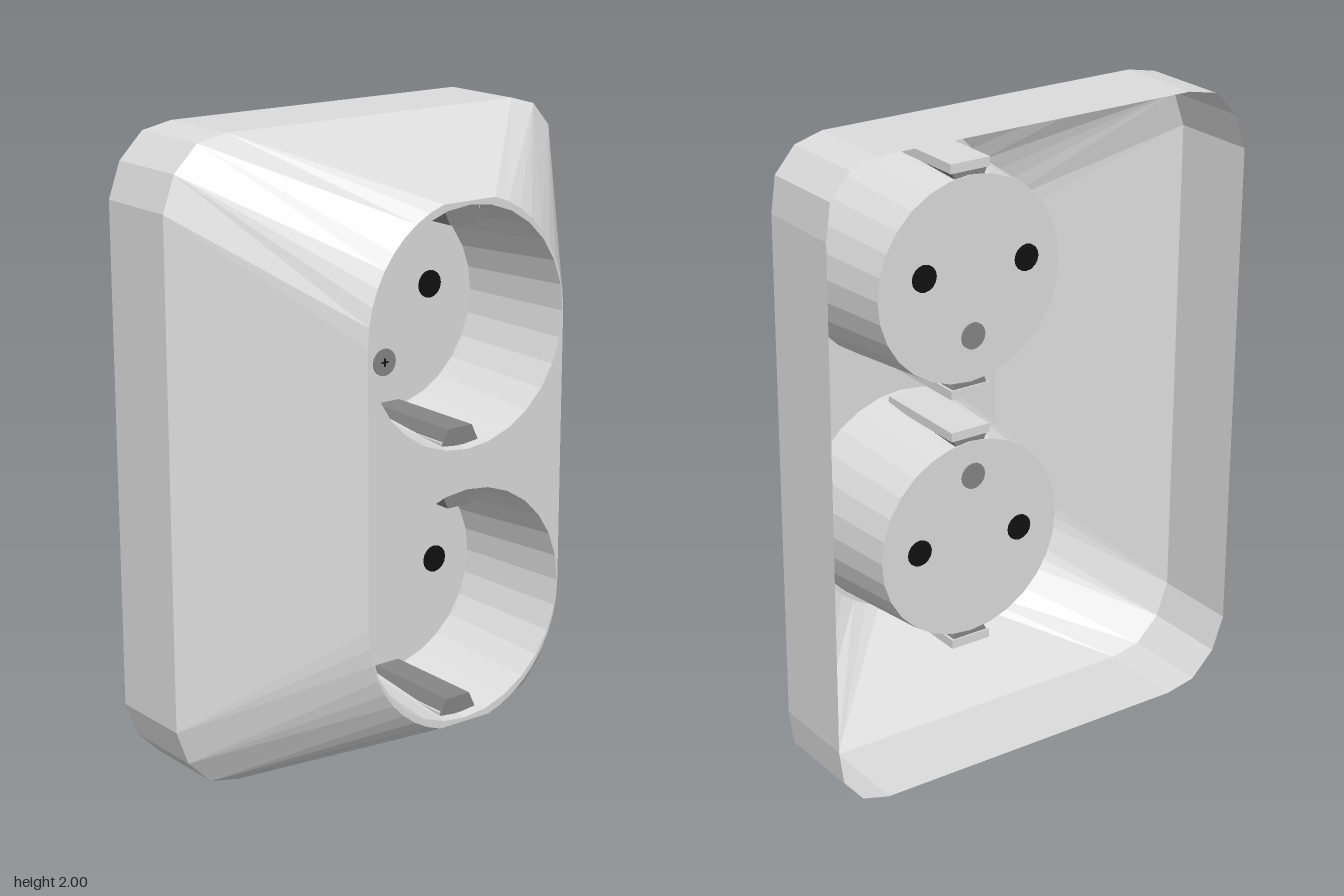
import * as THREE from 'three';

const mat = (name, color, extra = {}) => {
  const m = new THREE.MeshStandardMaterial({ color, flatShading: true, ...extra });
  m.name = name;
  return m;
};

// Surface between two closed loops, given as [u, v] points at depths w0 and w1
function loft(a, w0, b, w1) {
  const pos = [];
  const same = (p, q) => p[0] === q[0] && p[1] === q[1] && p[2] === q[2];
  const tri = (p, q, r) => {
    if (!same(p, q) && !same(q, r) && !same(p, r)) pos.push(...p, ...q, ...r);
  };
  for (let i = 0; i < a.length; i++) {
    const j = (i + 1) % a.length;
    const a0 = [...a[i], w0], a1 = [...a[j], w0], b0 = [...b[i], w1], b1 = [...b[j], w1];
    tri(a0, a1, b1);
    tri(a0, b1, b0);
  }
  const g = new THREE.BufferGeometry();
  g.setAttribute('position', new THREE.Float32BufferAttribute(pos, 3));
  g.computeVertexNormals();
  return g;
}

export function createModel() {
  const plastic = mat('light grey plastic', 0xdcdcdc, { side: THREE.DoubleSide });
  const metal = mat('grey metal', 0x868686);
  const black = mat('black', 0x111111);

  const root = new THREE.Group();
  root.name = 'doubleSocket';
  // Built facing +z, then turned to face +x
  const body = new THREE.Group();
  body.name = 'socketBody';
  body.rotation.y = Math.PI / 2;
  root.add(body);

  const add = (parent, name, geo, material, x = 0, y = 0, z = 0) => {
    const m = new THREE.Mesh(geo, material);
    m.name = name;
    m.position.set(x, y, z);
    parent.add(m);
    return m;
  };

  const BACK = -0.367, SHOULDER = -0.08, FRONT = 0.357, FLOOR = -0.03;
  const CU = 0.03, R = 0.365, upperY = 1.43, lowerY = 0.575;

  // Matching outlines: rounded rectangle behind, rounded ends in front
  const rightTop = [[0.73, 1.79], [0.715, 1.9], [0.65, 1.975], [0.56, 2]];
  const leftTop = [[-0.73, 1.79], [-0.69, 1.9], [-0.61, 1.98], [-0.51, 2]];
  const flip = (c) => c.map(([u, v]) => [u, 2 - v]);
  const corners = [rightTop, leftTop, flip(leftTop), flip(rightTop)];
  const outer = [], inner = [];
  corners.forEach((corner, q) => {
    const su = q === 0 || q === 3 ? 1 : -1;
    const sv = q < 2 ? 1 : -1;
    for (let i = 0; i <= 9; i++) {
      const k = q % 2 ? 9 - i : i;
      const t = THREE.MathUtils.degToRad((k / 9) * 75);
      outer.push(corner[Math.round(k / 3)]);
      inner.push([
        CU + su * 0.368 * Math.cos(t),
        (q < 2 ? upperY : lowerY) + sv * 0.39 * Math.sin(t),
      ]);
    }
  });
  add(body, 'baseRim', loft(outer, BACK, outer, SHOULDER), plastic);
  add(body, 'taperedCover', loft(outer, SHOULDER, inner, FRONT), plastic);

  // Front plate with two round openings
  const plate = new THREE.Shape(inner.map(([u, v]) => new THREE.Vector2(u, v)));
  for (const y of [upperY, lowerY]) {
    const hole = new THREE.Path();
    hole.absarc(CU, y, R, 0, Math.PI * 2, true);
    plate.holes.push(hole);
  }
  add(body, 'frontPlate', new THREE.ShapeGeometry(plate, 14), plastic, 0, 0, FRONT);

  // Wedge-shaped earth clip: wide at the wall, narrow towards the middle
  const clipShape = new THREE.Shape([
    new THREE.Vector2(-0.045, 0.305), new THREE.Vector2(0.045, 0.305),
    new THREE.Vector2(0.07, 0.36), new THREE.Vector2(-0.07, 0.36),
  ]);
  const clipGeo = new THREE.ExtrudeGeometry(clipShape, { depth: 0.35, bevelEnabled: false });
  const housingGeo = new THREE.BoxGeometry(0.14, 0.03, 0.35);
  const disc = (r, h, n) => new THREE.CylinderGeometry(r, r, h, n).rotateX(Math.PI / 2);

  function socket(name, y, pins, screw) {
    const s = new THREE.Group();
    s.name = name;
    s.position.set(CU, y, 0);
    body.add(s);
    const wall = new THREE.CylinderGeometry(R, 0.328, FRONT - FLOOR, 28, 1, true);
    add(s, 'wellWall', wall.rotateX(Math.PI / 2), plastic, 0, 0, (FRONT + FLOOR) / 2);
    add(s, 'wellFloor', new THREE.CircleGeometry(0.328, 28), plastic, 0, 0, FLOOR);

    // Pin holes and screw show on both sides of the floor
    for (const [u, v] of pins) add(s, 'pinHole', disc(0.043, 0.008, 16), black, u - CU, v - y, FLOOR);
    const [su, sv] = [screw[0] - CU, screw[1] - y];
    add(s, 'screw', disc(0.043, 0.008, 16), metal, su, sv, FLOOR);
    add(s, 'screwSlot', new THREE.BoxGeometry(0.026, 0.005, 0.004), black, su, sv, FLOOR + 0.004);
    add(s, 'screwSlot', new THREE.BoxGeometry(0.005, 0.026, 0.004), black, su, sv, FLOOR + 0.004);

    // Clips above and below
    for (const turn of [0, Math.PI]) {
      const c = new THREE.Group();
      c.name = 'earthClip';
      c.rotation.z = turn;
      s.add(c);
      add(c, 'clip', clipGeo, metal, 0, 0, FLOOR + 0.003);
      add(c, 'clipHousing', housingGeo, plastic, 0, 0.358, FLOOR + 0.173);
    }
  }
  socket('upperSocket', upperY, [[-0.175, 1.46], [0.195, 1.47]], [0.02, 1.25]);
  socket('lowerSocket', lowerY, [[-0.155, 0.56], [0.22, 0.575]], [0.02, 0.785]);

  return root;
}
